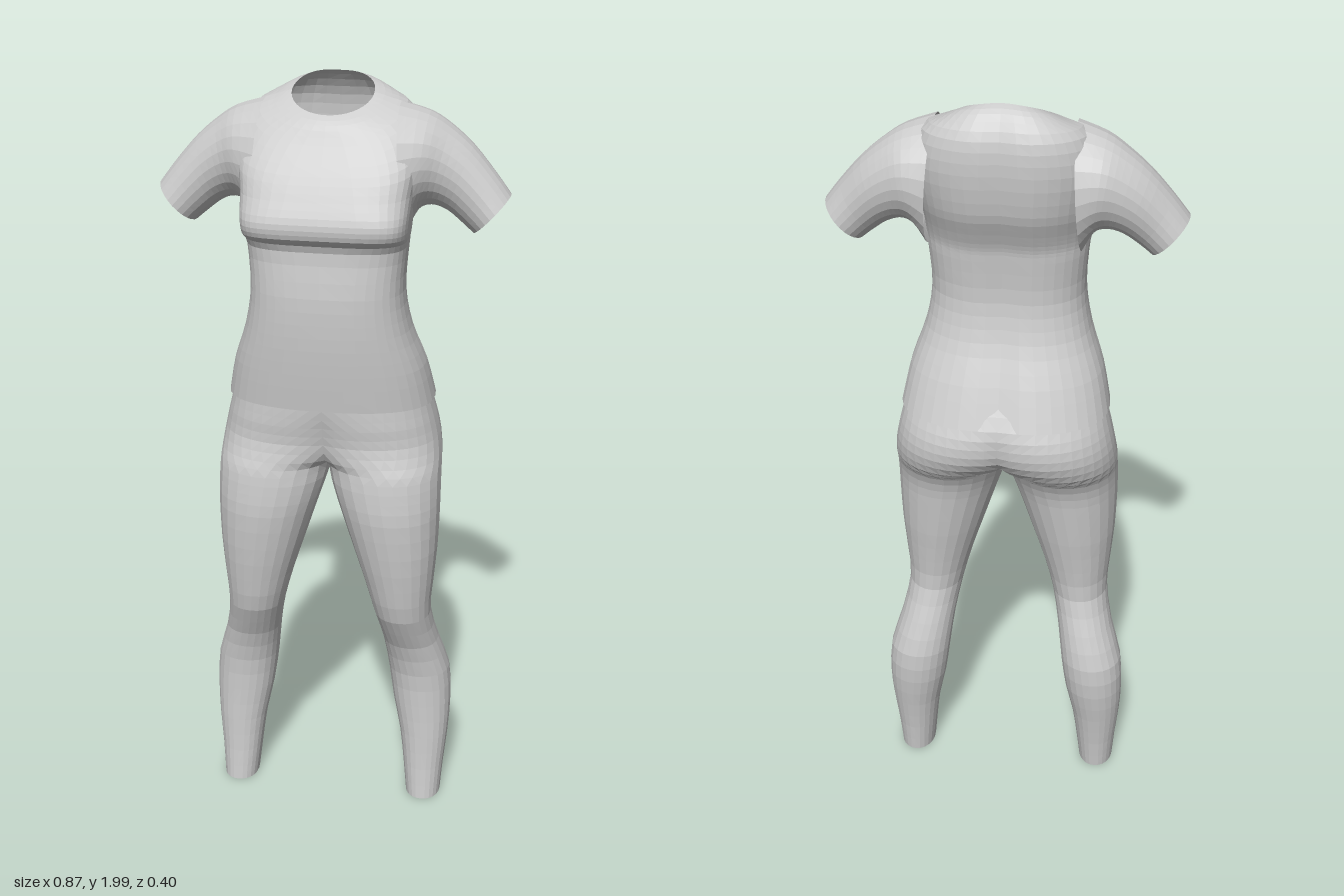
import * as THREE from 'three';

const V = (x, y, z) => new THREE.Vector3(x, y, z);

// Smoothly inserts extra rows between the given cross-section rows
function refine(rows, steps) {
  const out = [];
  const cr = (a, b, c, d, t) =>
    0.5 * (2 * b + (c - a) * t + (2 * a - 5 * b + 4 * c - d) * t * t + (3 * b - a - 3 * c + d) * t * t * t);
  for (let i = 0; i < rows.length - 1; i++) {
    const p = rows[Math.max(i - 1, 0)], q = rows[i], r = rows[i + 1], s = rows[Math.min(i + 2, rows.length - 1)];
    for (let k = 0; k < steps; k++) out.push(q.map((_, j) => cr(p[j], q[j], r[j], s[j], k / steps)));
  }
  out.push(rows[rows.length - 1]);
  return out;
}

// Skins a list of rings; side = -1 mirrors across x
function loft(name, rings, material, side = 1) {
  const n = rings[0].length, pos = [], idx = [];
  rings.forEach(r => r.forEach(p => pos.push(p.x * side, p.y, p.z)));
  for (let i = 0; i < rings.length - 1; i++) {
    for (let j = 0; j < n - 1; j++) {
      const a = i * n + j, b = a + 1, c = a + n, d = c + 1;
      if (side > 0) idx.push(a, b, c, b, d, c);
      else idx.push(a, c, b, b, c, d);
    }
  }
  const g = new THREE.BufferGeometry();
  g.setAttribute('position', new THREE.Float32BufferAttribute(pos, 3));
  g.setIndex(idx);
  g.computeVertexNormals();
  const m = new THREE.Mesh(g, material);
  m.name = name;
  return m;
}

const pw = (v, e) => Math.sign(v) * Math.pow(Math.abs(v), e);

// Shirt body ring: heights at side, front and back, half width, front z, back z, front squareness
function torsoRing([ys, yf, yb, hw, zf, zb, e]) {
  const ring = [], N = 40, zm = (zf + zb) / 2, rz = (zf - zb) / 2;
  for (let j = 0; j <= N; j++) {
    const t = (j / N) * Math.PI * 2, s = Math.sin(t), c = Math.cos(t), k = s > 0 ? e : 0.85;
    const x = hw * pw(c, k);
    let z = zm + rz * pw(s, k);
    // shallow groove along the spine
    if (s < 0) z += 0.013 * Math.exp(-((x / 0.045) ** 2));
    ring.push(V(x, ys + (s > 0 ? yf - ys : yb - ys) * Math.abs(s), z));
  }
  return ring;
}

// Sleeve ring: top point, underarm point, front z, back z
function sleeveRing([xt, yt, xb, yb, zf, zb]) {
  const ring = [], N = 24;
  for (let j = 0; j <= N; j++) {
    const t = (j / N) * Math.PI * 2, k = (1 + Math.cos(t)) / 2;
    ring.push(V(xb + (xt - xb) * k, yb + (yt - yb) * k, (zf + zb) / 2 + ((zf - zb) / 2) * Math.sin(t)));
  }
  return ring;
}

// Trouser half ring: height, inner x, outer x, front z, back z, opening angle on the centre line
function legRing([y, xi, xo, zf, zb, gap]) {
  const ring = [], N = 24, g = Math.max(gap, 0);
  const rx = (xo - Math.max(xi, 0)) / (1 + Math.cos(g)), cx = xo - rx;
  for (let j = 0; j <= N; j++) {
    const t = (Math.PI - g) * ((2 * j) / N - 1), s = Math.sin(t);
    ring.push(V(cx + rx * Math.cos(t), y, (zf + zb) / 2 + ((zf - zb) / 2) * pw(s, s > 0 ? 0.8 : 0.95)));
  }
  return ring;
}

export function createModel() {
  const model = new THREE.Group();
  model.name = 'outfit';
  const cloth = new THREE.MeshStandardMaterial({ color: 0xcccccc, side: THREE.DoubleSide, flatShading: true });

  // Shirt body, from the neckline to the hem
  const torso = [
    [1.962, 1.918, 2.0, 0.1, 0.065, -0.09, 1],
    [1.95, 1.898, 1.985, 0.14, 0.088, -0.118, 0.9],
    [1.925, 1.855, 1.93, 0.195, 0.112, -0.15, 0.75],
    [1.84, 1.79, 1.85, 0.22, 0.15, -0.156, 0.6],
    [1.745, 1.735, 1.75, 0.21, 0.177, -0.142, 0.5],
    [1.685, 1.685, 1.69, 0.205, 0.197, -0.118, 0.42],
    [1.645, 1.648, 1.65, 0.202, 0.193, -0.102, 0.45],
    [1.612, 1.612, 1.612, 0.197, 0.168, -0.096, 0.6],
    [1.5, 1.5, 1.5, 0.191, 0.179, -0.09, 0.7],
    [1.4, 1.4, 1.4, 0.208, 0.179, -0.11, 0.75],
    [1.3, 1.3, 1.3, 0.243, 0.172, -0.153, 0.8],
    [1.2, 1.205, 1.2, 0.265, 0.162, -0.193, 0.8],
  ];
  const shirt = new THREE.Group();
  shirt.name = 'shirt';
  shirt.add(loft('shirtBody', refine(torso, 3).map(torsoRing), cloth));

  // Short sleeves, from the shoulder to the cuff
  const sleeve = [
    [0.165, 1.943, 0.185, 1.63, 0.115, -0.14],
    [0.235, 1.921, 0.212, 1.683, 0.09, -0.135],
    [0.285, 1.89, 0.243, 1.696, 0.066, -0.122],
    [0.34, 1.843, 0.28, 1.685, 0.054, -0.108],
    [0.395, 1.78, 0.317, 1.658, 0.052, -0.094],
    [0.435, 1.728, 0.347, 1.633, 0.055, -0.09],
  ];

  // Trouser halves, from the hidden waistband through the crotch to the ankle
  const leg = [
    [1.26, 0, 0.245, 0.155, -0.155, 1.5],
    [1.2, 0, 0.257, 0.152, -0.188, 1.4],
    [1.15, 0, 0.27, 0.148, -0.2, 1.22],
    [1.1, 0, 0.281, 0.143, -0.195, 1.1],
    [1.05, 0, 0.288, 0.15, -0.168, 0.75],
    [1.01, 0, 0.29, 0.158, -0.13, 0],
    [0.96, 0.014, 0.291, 0.163, -0.11, 0],
    [0.9, 0.034, 0.291, 0.165, -0.1, 0],
    [0.8, 0.066, 0.288, 0.156, -0.086, 0],
    [0.7, 0.098, 0.28, 0.142, -0.07, 0],
    [0.6, 0.125, 0.274, 0.122, -0.062, 0],
    [0.5, 0.145, 0.293, 0.076, -0.09, 0],
    [0.4, 0.158, 0.323, 0.052, -0.114, 0],
    [0.3, 0.172, 0.33, 0.048, -0.11, 0],
    [0.2, 0.193, 0.326, 0.05, -0.092, 0],
    [0.1, 0.206, 0.317, 0.055, -0.076, 0],
    [0.01, 0.216, 0.311, 0.064, -0.066, 0],
  ];
  const trousers = new THREE.Group();
  trousers.name = 'trousers';

  for (const [label, side] of [['left', 1], ['right', -1]]) {
    shirt.add(loft(label + 'Sleeve', refine(sleeve, 3).map(sleeveRing), cloth, side));
    trousers.add(loft(label + 'TrouserLeg', refine(leg, 2).map(legRing), cloth, side));
  }
  model.add(shirt, trousers);
  return model;
}
